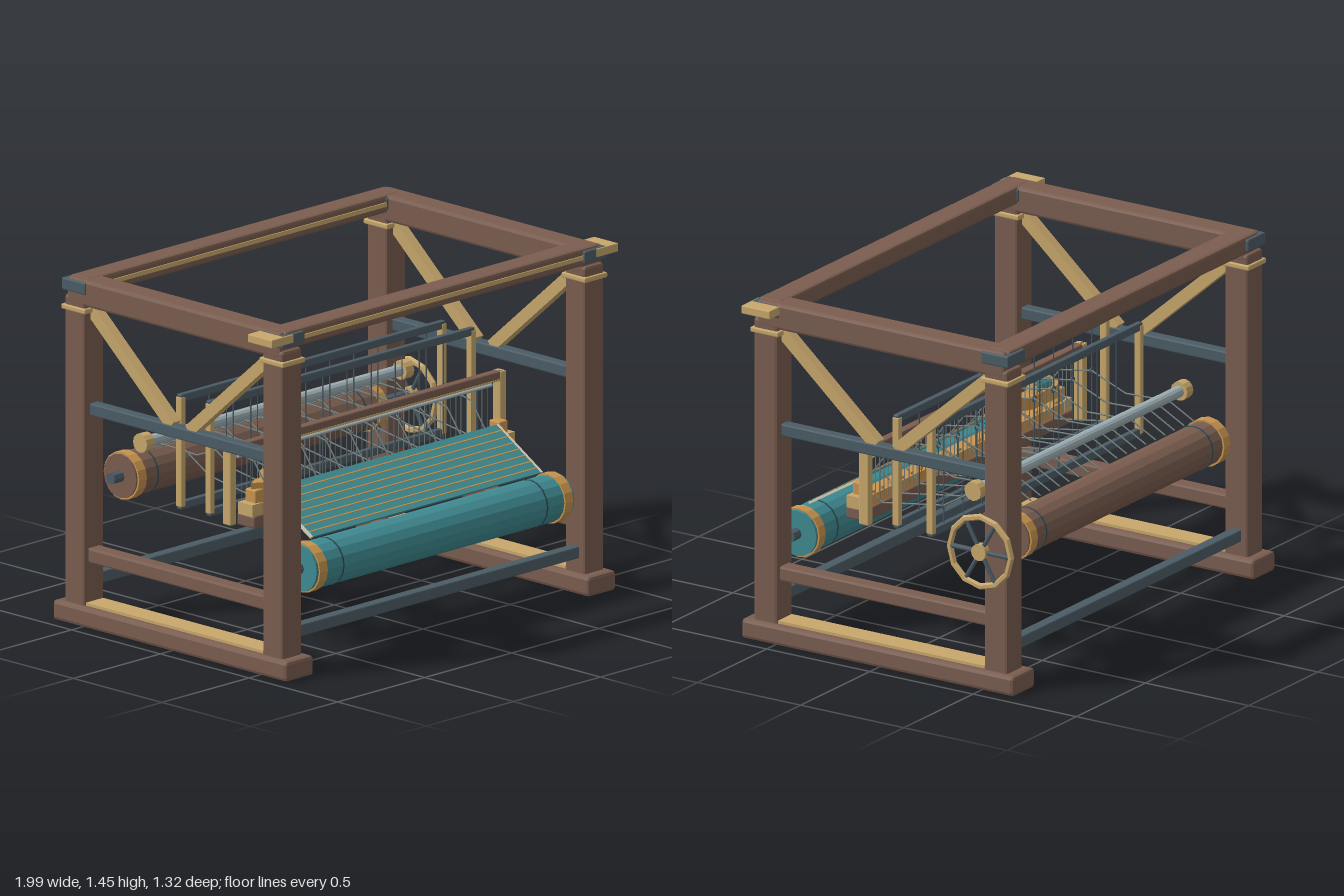
import * as THREE from 'three';
import { RoundedBoxGeometry } from 'three/addons/geometries/RoundedBoxGeometry.js';

const mat = (name, color) => {
  const m = new THREE.MeshStandardMaterial({ color });
  m.name = name;
  return m;
};

export function createModel() {
  const loom = new THREE.Group();
  loom.name = 'loom';
  const brown = mat('brown wood', 0x7a5d4f), tan = mat('pale wood', 0xc8a76c);
  const orange = mat('orange wood', 0xc9954f), slate = mat('slate metal', 0x4b5c66);
  const teal = mat('teal cloth', 0x3f8b92), steel = mat('steel', 0x9fb0b5);
  const thread = mat('warp thread', 0x75817f), cream = mat('cream selvedge', 0xd8d2bc);
  const dark = mat('dark cord', 0x2c4f56);

  const put = (name, geo, m, x, y, z, parent = loom) => {
    const mesh = new THREE.Mesh(geo, m);
    mesh.name = name;
    mesh.position.set(x, y, z);
    parent.add(mesh);
    return mesh;
  };
  const box = (name, m, w, h, d, x, y, z, parent) =>
    put(name, new THREE.BoxGeometry(w, h, d), m, x, y, z, parent);
  // Box with flat chamfered edges
  const beam = (name, m, w, h, d, x, y, z, c = 0.012, parent = loom) => {
    const g = new RoundedBoxGeometry(w, h, d, 1, c);
    g.computeVertexNormals();
    return put(name, g, m, x, y, z, parent);
  };
  // Faceted roller along x
  const roller = (name, m, r, len, x, y, z, sides = 16, parent = loom) => {
    let g = new THREE.CylinderGeometry(r, r, len, sides).rotateZ(Math.PI / 2).toNonIndexed();
    g.computeVertexNormals();
    return put(name, g, m, x, y, z, parent);
  };
  // Thin rod between two points
  const rod = (name, m, a, b, r, sides = 5, parent = loom) => {
    const p = new THREE.Vector3(...a), q = new THREE.Vector3(...b);
    const mesh = put(name, new THREE.CylinderGeometry(r, r, p.distanceTo(q), sides), m, 0, 0, 0, parent);
    mesh.position.copy(p).lerp(q, 0.5);
    mesh.quaternion.setFromUnitVectors(new THREE.Vector3(0, 1, 0), q.sub(p).normalize());
    return mesh;
  };

  // Frame sides
  for (const s of [-1, 1]) {
    const x = s * 0.868;
    beam('foot', brown, 0.16, 0.085, 1.32, x, 0.0425, 0, 0.015);
    box('footPlank', tan, 0.1, 0.014, 1.0, x, 0.09, 0);
    beam('lowerSideRail', brown, 0.07, 0.062, 1.03, x, 0.291, 0, 0.008);
    beam('middleSideRail', slate, 0.05, 0.052, 1.03, x, 0.9, 0, 0.006);
    beam('topSideBeam', brown, 0.113, 0.11, 1.2, x, 1.39, 0);
    beam('cornerPlate', tan, 0.125, 0.036, 0.138, s * 0.9325, 1.419, 0.557, 0.004);
    for (const f of [-1, 1]) {
      const z = f * 0.558;
      beam('post', brown, 0.112, 1.3, 0.115, x, 0.72, z);
      beam('postCollar', tan, 0.13, 0.022, 0.135, x, 1.317, z, 0.005);
      beam('cornerBracket', slate, 0.126, 0.052, 0.132, x, 1.412, z, 0.006);
      // Diagonal brace
      const dy = 0.4, dz = 0.46;
      const brace = box('brace', tan, 0.045, Math.hypot(dy, dz), 0.05, x, 1.12, f * 0.28);
      brace.rotation.x = f * Math.atan2(dz, dy);
    }
  }
  // Cross beams front and back
  for (const f of [-1, 1]) {
    beam('topCrossBeam', brown, 1.8, 0.075, 0.11, 0, 1.41, f * 0.555);
    box('beamInlay', tan, 1.64, 0.018, 0.008, 0, 1.411, f * 0.555 + 0.056);
    beam('lowerCrossRail', slate, 1.66, 0.05, 0.05, 0, 0.17, f * 0.558, 0.006);
  }

  // Cloth beam
  const cy = 0.412, cz = 0.53;
  roller('clothBeam', teal, 0.097, 1.48, 0, cy, cz);
  roller('clothBeamAxle', slate, 0.025, 1.58, 0, cy, cz, 8);
  for (const s of [-1, 1]) {
    roller('clothBeamBand', orange, 0.104, 0.045, s * 0.705, cy, cz);
    roller('clothBeamCord', dark, 0.099, 0.008, s * 0.585, cy, cz);
  }

  // Woven cloth with stripes and selvedges
  const cloth = new THREE.Group();
  cloth.name = 'cloth';
  cloth.position.set(0, 0.597, 0.395);
  cloth.rotation.x = Math.atan2(0.15, 0.25);
  loom.add(cloth);
  box('clothSheet', teal, 1.31, 0.008, 0.292, 0, 0, 0, cloth);
  for (let i = 0; i < 7; i++) box('clothStripe', orange, 1.31, 0.004, 0.006, 0, 0.004, -0.11 + i * 0.038, cloth);
  for (const s of [-1, 1]) box('selvedge', cream, 0.012, 0.01, 0.292, s * 0.66, 0, 0, cloth);

  // Beater with reed
  beam('beaterSill', brown, 1.5, 0.053, 0.1, 0, 0.553, 0.235, 0.008);
  box('shuttleRace', orange, 1.4, 0.045, 0.075, 0, 0.6, 0.237);
  beam('beaterTopRail', brown, 1.58, 0.036, 0.04, 0, 0.842, 0.17, 0.006);
  box('topRailTrim', tan, 1.54, 0.008, 0.042, 0, 0.825, 0.17);
  rod('reedCap', steel, [-0.73, 0.805, 0.17], [0.73, 0.805, 0.17], 0.007, 6);
  for (const s of [-1, 1]) {
    beam('beaterUpright', tan, 0.035, 0.33, 0.046, s * 0.775, 0.695, 0.17, 0.005);
    box('raceEnd', tan, 0.055, 0.05, 0.08, s * 0.727, 0.602, 0.238);
    beam('raceBlock', orange, 0.05, 0.06, 0.06, s * 0.7, 0.65, 0.238, 0.006);
  }
  for (let i = 0; i < 48; i++) {
    const x = -0.705 + i * 0.03;
    rod('reedDent', thread, [x, 0.61, 0.17], [x, 0.81, 0.17], 0.0025, 4);
  }
  for (let i = 0; i < 20; i++) box('racePeg', orange, 0.018, 0.012, 0.012, -0.66 + i * 0.0695, 0.628, 0.215);

  // Shuttle with pointed ends and a bobbin
  const outline = new THREE.Shape([[-0.145, 0], [-0.085, -0.033], [0.085, -0.033], [0.145, 0], [0.085, 0.033], [-0.085, 0.033]]
    .map(p => new THREE.Vector2(...p)));
  put('shuttle', new THREE.ExtrudeGeometry(outline, { depth: 0.055, bevelEnabled: false }).rotateX(-Math.PI / 2),
    orange, -0.575, 0.65, 0.238);
  roller('bobbin', teal, 0.022, 0.11, -0.575, 0.722, 0.23, 10);
  for (const s of [-1, 1]) roller('bobbinEnd', tan, 0.026, 0.012, -0.575 + s * 0.06, 0.722, 0.23, 10);

  // Two heddle frames
  const frames = [{ z: 0.035, top: 1.0, bottom: 0.55, eye: 0.8 }, { z: -0.13, top: 0.995, bottom: 0.545, eye: 0.635 }];
  for (const { z, top, bottom } of frames) {
    for (const y of [top, bottom]) beam('heddleBar', slate, 1.52, 0.034, 0.026, 0, y, z, 0.005);
    for (const s of [-1, 1]) beam('heddleUpright', tan, 0.026, top - bottom + 0.01, 0.032, s * 0.75, (top + bottom) / 2, z, 0.004);
  }

  // Back roller and warp beam
  roller('backRoller', steel, 0.024, 1.5, 0, 0.765, -0.342, 12);
  const wy = 0.588, wz = -0.496;
  roller('warpBeam', brown, 0.092, 1.45, 0, wy, wz);
  roller('warpBeamAxle', slate, 0.025, 1.72, 0.08, wy, wz, 8);
  for (const s of [-1, 1]) {
    roller('backRollerKnob', tan, 0.04, 0.045, s * 0.745, 0.765, -0.342, 12);
    roller('warpBeamBand', orange, 0.1, 0.045, s * 0.695, wy, wz);
    roller('warpBeamCord', dark, 0.094, 0.008, s * 0.6, wy, wz);
  }

  // Warp threads, alternately raised and lowered, each with its heddle
  const paths = [
    [[0.67, 0.27], [0.775, 0.19], [0.8, 0.035], [0.735, -0.13], [0.742, -0.31], [0.738, -0.35], [0.68, -0.46]],
    [[0.67, 0.27], [0.59, 0.165], [0.635, -0.13], [0.742, -0.31], [0.738, -0.35], [0.68, -0.46]],
  ];
  for (let i = 0; i < 20; i++) {
    const x = -0.655 + i * 0.0692, k = i % 2, path = paths[k], { z, top, bottom, eye } = frames[k];
    for (let j = 1; j < path.length; j++) rod('warpThread', thread, [x, ...path[j - 1]], [x, ...path[j]], 0.0035);
    rod('heddleWire', slate, [x, bottom, z], [x, eye - 0.012, z], 0.003);
    rod('heddleWire', slate, [x, eye + 0.012, z], [x, top, z], 0.003);
    put('heddleEye', new THREE.TorusGeometry(0.012, 0.0035, 5, 10), slate, x, eye, z);
  }

  // Hand wheel on the warp beam
  const wheel = new THREE.Group();
  wheel.name = 'handWheel';
  wheel.position.set(0.94, wy, wz);
  wheel.rotation.y = Math.PI / 2;
  loom.add(wheel);
  const rim = new THREE.TorusGeometry(0.148, 0.014, 6, 12).toNonIndexed();
  rim.computeVertexNormals();
  put('wheelRim', rim, tan, 0, 0, 0, wheel);
  put('wheelHub', new THREE.CylinderGeometry(0.035, 0.035, 0.034, 12).rotateX(Math.PI / 2), tan, 0, 0, 0, wheel);
  for (let i = 0; i < 6; i++) {
    const a = i * Math.PI / 3;
    rod('wheelSpoke', slate, [0, 0, 0], [Math.cos(a) * 0.145, Math.sin(a) * 0.145, 0], 0.009, 6, wheel);
  }
  return loom;
}
